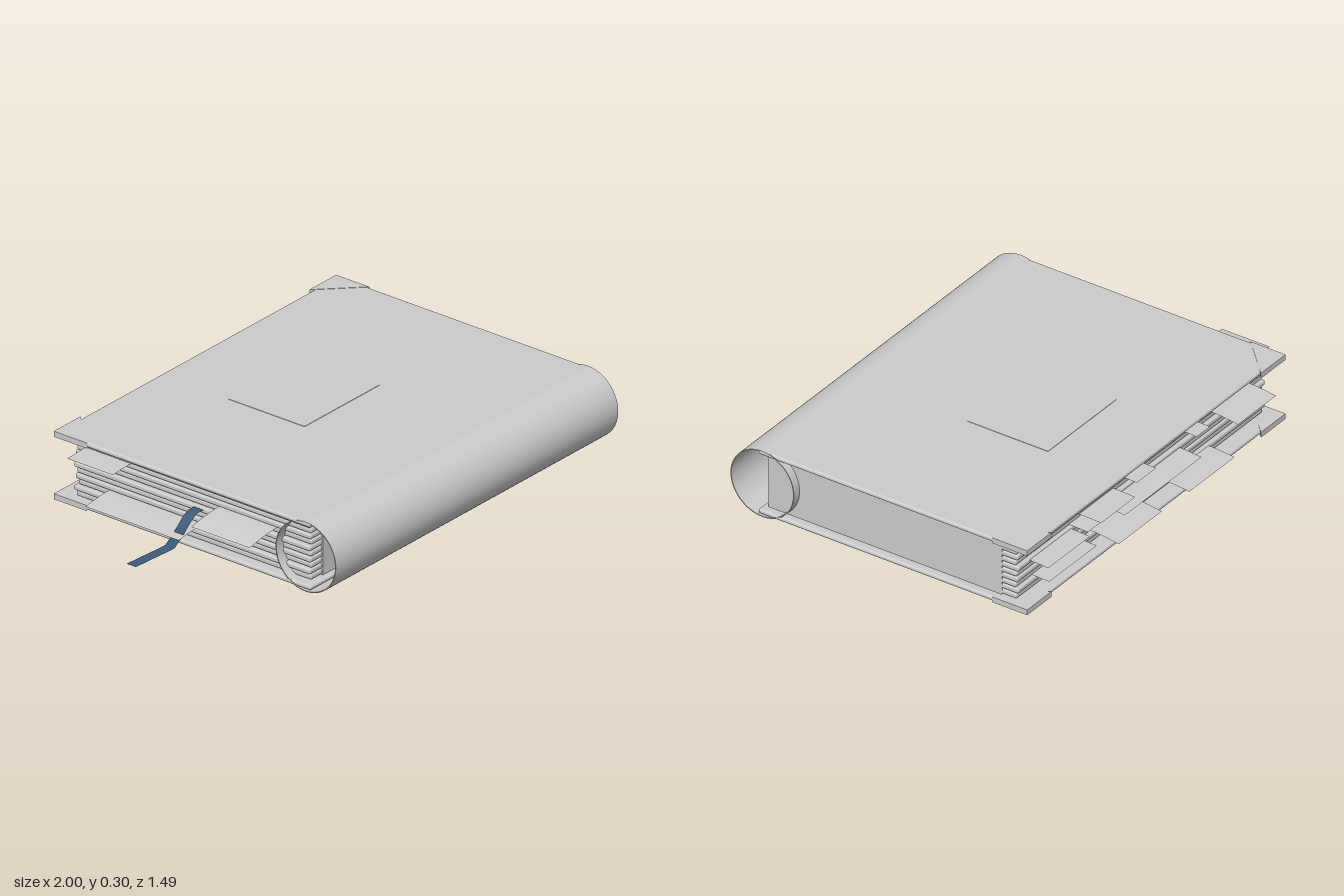
import * as THREE from 'three';
import { RoundedBoxGeometry } from 'three/addons/geometries/RoundedBoxGeometry.js';

export function createModel() {
  const model = new THREE.Group();
  const grey = new THREE.MeshStandardMaterial({ color: 0xcccccc, side: THREE.DoubleSide });
  grey.name = 'lightGrey';
  const blue = new THREE.MeshStandardMaterial({ color: 0x3c5a78, side: THREE.DoubleSide });
  blue.name = 'darkBlue';

  const add = (name, geometry, material = grey) => {
    const mesh = new THREE.Mesh(geometry, material);
    mesh.name = name;
    model.add(mesh);
    return mesh;
  };

  // Block spanning the given bounds, optionally with rounded edges
  const block = (name, [x0, x1], [y0, y1], [z0, z1], radius = 0) => {
    const size = [x1 - x0, y1 - y0, z1 - z0];
    const geometry = radius
      ? new RoundedBoxGeometry(...size, 3, radius)
      : new THREE.BoxGeometry(...size);
    geometry.translate((x0 + x1) / 2, (y0 + y1) / 2, (z0 + z1) / 2);
    return add(name, geometry);
  };

  // Covers
  block('topCover', [-0.738, 0.993], [0.278, 0.298], [-0.647, 0.615], 0.009);
  block('bottomCover', [-0.738, 0.993], [0.008, 0.028], [-0.647, 0.615], 0.009);

  // Hollow round spine, open at both ends
  for (const radius of [0.15, 0.146]) {
    const tube = new THREE.CylinderGeometry(radius, radius, 1.735, 64, 1, true);
    tube.rotateZ(Math.PI / 2).translate(0.1275, 0.15, 0.593);
    add(radius === 0.15 ? 'spine' : 'spineLining', tube);
  }
  for (const x of [-0.74, 0.995]) {
    const rim = new THREE.RingGeometry(0.146, 0.15, 64);
    rim.rotateY(Math.PI / 2).translate(x, 0.15, 0.593);
    add('spineRim', rim);
  }

  // Triangular corner guards wrapped around the outer cover corners
  for (const [x, side] of [[-0.74, 1], [0.995, -1]]) {
    for (const top of [0.3, 0.03]) {
      const shape = new THREE.Shape([
        new THREE.Vector2(x, -0.658),
        new THREE.Vector2(x + side * 0.165, -0.658),
        new THREE.Vector2(x, -0.493),
      ]);
      const guard = new THREE.ExtrudeGeometry(shape, { depth: 0.024, bevelEnabled: false });
      guard.rotateX(Math.PI / 2).translate(0, top - 0.0005, 0);
      add('cornerGuard', guard);
    }
  }

  // Raised label plate on the top cover
  block('coverLabel', [-0.1, 0.36], [0.297, 0.3], [-0.31, 0.07]);

  // Page core and the uneven gatherings around it
  block('pageCore', [-0.63, 0.957], [0.027, 0.279], [-0.512, 0.59]);
  const rows = 10;
  const pitch = 0.25 / rows;
  for (let i = 0; i < rows; i++) {
    const y = 0.028 + i * pitch;
    const inset = [0.008, 0, 0.012, 0.004][i % 4];
    block('pageGathering', [-0.705 + inset, 0.955], [y + 0.001, y + pitch - 0.001],
      [-0.588 + inset, 0.585], 0.008);
  }

  // Thin index tab: spans a..b, sticks out to reach and droops towards its tip
  const tab = (name, a, b, start, reach, y, droop) => {
    const geometry = new THREE.PlaneGeometry(b - a, reach - start, 1, 8);
    geometry.rotateX(-Math.PI / 2);
    geometry.translate((a + b) / 2, y, -(start + reach) / 2);
    const p = geometry.attributes.position;
    for (let i = 0; i < p.count; i++) {
      const t = (-p.getZ(i) - start) / (reach - start);
      p.setY(i, y - droop * t * t);
    }
    geometry.computeVertexNormals();
    return add(name, geometry);
  };

  // Tabs along the fore edge: from x, to x, reach, height, droop
  const backTabs = [
    [-0.58, -0.325, 0.725, 0.232, 0.014],
    [-0.325, -0.02, 0.71, 0.073, 0.009],
    [0.215, 0.505, 0.745, 0.125, 0.017],
    [-0.13, 0.385, 0.69, 0.165, 0.007],
    [-0.22, -0.13, 0.667, 0.245, 0.003],
    [0.16, 0.29, 0.68, 0.257, 0.003],
    [0.3, 0.53, 0.68, 0.197, 0.003],
    [0.42, 0.6, 0.667, 0.186, 0.002],
    [0.6, 0.88, 0.677, 0.172, 0.004],
    [0.53, 0.85, 0.66, 0.086, 0.002],
  ];
  for (const [a, b, reach, y, droop] of backTabs) {
    tab('foreEdgeTab', a, b, 0.56, reach, y, droop);
  }

  // Tabs along the -x edge, made facing back and then turned
  const sideTabs = [
    [-0.53, -0.305, 0.815, 0.256, 0.006],
    [0.13, 0.42, 0.87, 0.208, 0.024],
    [-0.42, 0.045, 0.84, 0.103, 0.016],
  ];
  for (const [z0, z1, reach, y, droop] of sideTabs) {
    tab('sideTab', -z1, -z0, 0.66, reach, y, droop).rotation.y = Math.PI / 2;
  }

  // Ribbon bookmark: [x, y, z] centre line, swept with a constant width in z
  const path = [
    [-0.66, 0.172, 0.035], [-0.74, 0.168, 0.032], [-0.765, 0.155, 0.03],
    [-0.79, 0.125, 0.025], [-0.805, 0.085, 0.01], [-0.82, 0.035, -0.015],
    [-0.835, 0.026, -0.026], [-0.9, 0.018, -0.042], [-1, 0.008, -0.063],
  ];
  const positions = [];
  const index = [];
  path.forEach(([x, y, z], i) => {
    positions.push(x, y, z - 0.023, x, y, z + 0.023);
    if (i) {
      const k = 2 * i;
      index.push(k - 2, k, k - 1, k - 1, k, k + 1);
    }
  });
  const ribbon = new THREE.BufferGeometry();
  ribbon.setAttribute('position', new THREE.Float32BufferAttribute(positions, 3));
  // Corner order is reversed so the upper face is the front
  ribbon.setIndex(index.reverse());
  ribbon.computeVertexNormals();
  add('ribbonBookmark', ribbon, blue);

  return model;
}
